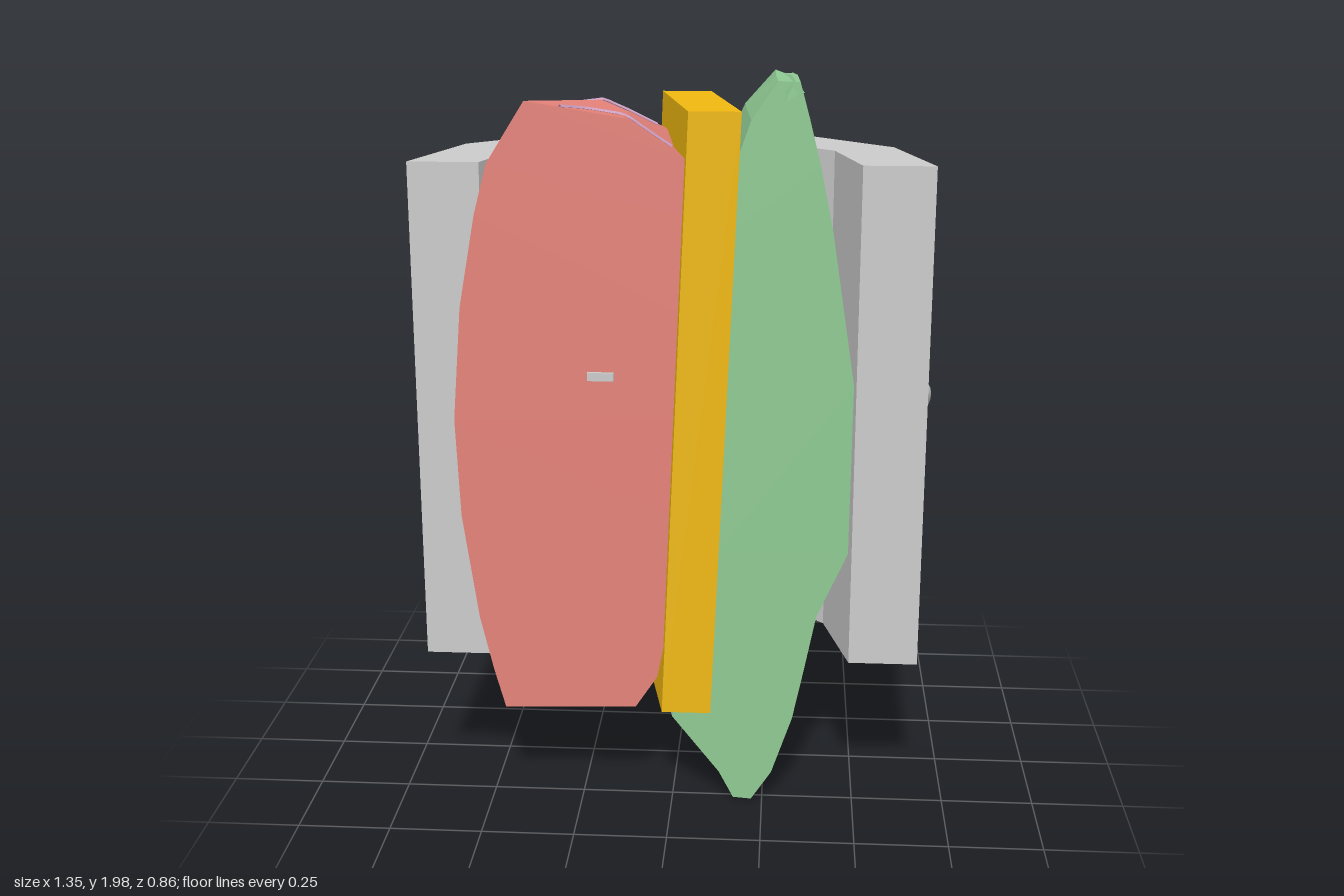
import * as THREE from 'three';

const FRONT = 0.28; // plane of the flat cut face

function material(color) {
  return new THREE.MeshStandardMaterial({ color, flatShading: true, side: THREE.DoubleSide });
}

function addMesh(parent, name, geometry, color) {
  const mesh = new THREE.Mesh(geometry, material(color));
  mesh.name = name;
  parent.add(mesh);
  return mesh;
}

// Faceted loft through rings of equal length, listed from bottom to top
function loft(rings, flip) {
  const n = rings[0].length;
  const index = [];
  const tri = (a, b, c) => index.push(...(flip ? [a, c, b] : [a, b, c]));
  for (let r = 0; r < rings.length - 1; r++) {
    for (let i = 0; i < n; i++) {
      const a = r * n + i, b = r * n + (i + 1) % n;
      tri(a, b + n, b);
      tri(a, a + n, b + n);
    }
  }
  const top = (rings.length - 1) * n;
  for (let i = 1; i < n - 1; i++) {
    tri(0, i, i + 1);
    tri(top, top + i + 1, top + i);
  }
  const g = new THREE.BufferGeometry();
  g.setAttribute('position', new THREE.Float32BufferAttribute(rings.flat(2), 3));
  g.setIndex(index);
  const flat = g.toNonIndexed();
  flat.computeVertexNormals();
  return flat;
}

// Half-cut filling: levels are [y, outer x, inner x, back z]; section is [share of width, share of depth]
function filling(levels, section, rough, tilt = 0) {
  const rings = levels.map(([y, outer, inner, back], r) => section.map(([u, d], i) => {
    const wobble = rough * Math.sin(i * 2.3 + r * 1.7);
    return [
      outer + (inner - outer) * u,
      y + wobble - (r === levels.length - 1 ? tilt * u : 0),
      FRONT + (back - FRONT) * d,
    ];
  }));
  return loft(rings, levels[0][1] > levels[0][2]);
}

export function createModel() {
  const model = new THREE.Group();
  model.name = 'halvedFilledRoll';

  // Outer shell: half ring with six flat sides
  const outer = [[-0.675, 0.27], [-0.585, -0.08], [-0.34, -0.325], [0, -0.415], [0.33, -0.325], [0.575, -0.08], [0.665, 0.27]];
  const inner = [[0.48, 0.27], [0.415, 0], [0.24, -0.17], [0, -0.235], [-0.245, -0.17], [-0.425, 0.01], [-0.49, 0.27]];
  const shape = new THREE.Shape([...outer, ...inner].map(([x, z]) => new THREE.Vector2(x, -z)));
  const shell = new THREE.ExtrudeGeometry(shape, { depth: 1.35, bevelEnabled: false });
  shell.rotateX(-Math.PI / 2).translate(0, 0.435, 0);
  addMesh(model, 'shell', shell, 0xcccccc);

  // Seeds lying on the shell: x, y, z, tilt
  const seeds = new THREE.Group();
  seeds.name = 'seeds';
  model.add(seeds);
  const seedGeometry = new THREE.SphereGeometry(1, 12, 8);
  [
    [0.643, 1.16, 0.18, 0.8], [0.45, 0.69, -0.21, 0.3], [0.52, 1.61, -0.135, -0.5],
    [0.21, 1.35, -0.355, 0], [-0.07, 1.23, -0.395, 0], [-0.1, 1.68, -0.385, 1.57],
    [-0.24, 0.73, -0.352, 0.5], [-0.47, 1.24, -0.195, 0.8], [-0.63, 1.5, 0.11, -0.4],
    [-0.635, 0.59, 0.14, 0.6],
  ].forEach(([x, y, z, tilt], i) => {
    const side = outer.findIndex((p, k) => k < 6 && x >= p[0] && x <= outer[k + 1][0]);
    const k = side < 0 ? (x < 0 ? 0 : 5) : side;
    const dx = outer[k + 1][0] - outer[k][0], dz = outer[k + 1][1] - outer[k][1];
    const seed = new THREE.Mesh(seedGeometry, new THREE.MeshStandardMaterial({ color: 0xcccccc }));
    seed.name = 'seed' + (i + 1);
    seed.position.set(x, y, z);
    seed.rotation.set(0, Math.atan2(dz, -dx), tilt, 'YXZ');
    seed.scale.set(0.036, 0.072, 0.034);
    seeds.add(seed);
  });

  // Sliver of a seed in the cut face
  const sliver = new THREE.BoxGeometry(0.07, 0.022, 0.02).translate(-0.185, 1.232, FRONT);
  addMesh(model, 'seedSliver', sliver, 0xcccccc);

  // Red filling
  const redSection = [[0, 0], [0.15, 0.5], [0.4, 0.83], [0.74, 0.98], [0.95, 0.97], [0.97, 0.5], [1, 0]];
  const red = addMesh(model, 'redFilling', filling([
    [0.28, -0.46, -0.1, 0.06],
    [0.38, -0.49, -0.04, -0.12],
    [0.55, -0.525, -0.01, -0.2],
    [0.85, -0.565, 0.01, -0.23],
    [1.1, -0.575, 0.02, -0.23],
    [1.4, -0.55, 0.035, -0.23],
    [1.66, -0.505, 0.05, -0.21],
    [1.79, -0.47, 0.04, -0.16],
    [1.93, -0.37, -0.12, -0.03],
  ], redSection, 0.012, 0.04), 0xe5837a);

  // Pale veins draped over the top of the red filling
  red.updateMatrixWorld(true);
  const ray = new THREE.Raycaster();
  const down = new THREE.Vector3(0, -1, 0);
  [
    [[-0.4, 0.0], [-0.36, 0.04], [-0.27, 0.03], [-0.2, 0.0], [-0.06, -0.04]],
    [[-0.28, 0.27], [-0.22, 0.18], [-0.1, 0.165], [-0.01, 0.14]],
  ].forEach((path, i) => {
    const guide = new THREE.CatmullRomCurve3(path.map(([x, z]) => new THREE.Vector3(x, 0, z)));
    const points = [];
    for (const p of guide.getPoints(16)) {
      ray.set(new THREE.Vector3(p.x, 3, p.z), down);
      const hit = ray.intersectObject(red)[0];
      if (hit) points.push(hit.point);
    }
    if (points.length > 2) {
      const tube = new THREE.TubeGeometry(new THREE.CatmullRomCurve3(points), 32, 0.006, 4);
      addMesh(model, 'vein' + (i + 1), tube, 0xc99bbd);
    }
  });

  // Yellow slice, leaning and turned slightly
  const slice = new THREE.BoxGeometry(0.133, 1.63, 0.49);
  slice.translate(0, 1.105, 0.06);
  const pos = slice.attributes.position;
  for (let i = 0; i < pos.count; i++) {
    const y = pos.getY(i), z = pos.getZ(i);
    pos.setX(i, pos.getX(i) + 0.07 + 0.2 * (z - FRONT) + 0.043 * (y - 1.1));
    pos.setZ(i, z - (z < 0 ? 0.012 * (1.9 - y) : 0));
  }
  slice.computeVertexNormals();
  addMesh(model, 'yellowSlice', slice, 0xf0b810);

  // Green leaf
  const leafSection = [[0, 0], [0.13, 0.5], [0.35, 0.74], [0.7, 0.9], [1.18, 1], [1.12, 0.5], [1, 0]];
  addMesh(model, 'greenLeaf', filling([
    [0.02, 0.22, 0.17, 0.16],
    [0.1, 0.275, 0.13, 0],
    [0.27, 0.33, 0.0, -0.18],
    [0.42, 0.36, 0.08, -0.235],
    [0.57, 0.39, 0.1, -0.23],
    [0.75, 0.47, 0.12, -0.23],
    [1.22, 0.473, 0.14, -0.23],
    [1.62, 0.41, 0.155, -0.225],
    [1.78, 0.375, 0.16, -0.2],
    [1.9, 0.345, 0.2, -0.1],
    [1.995, 0.32, 0.265, 0.03],
  ], leafSection, 0.004), 0x8fca93);

  // Paler folds between the leaf and the slice
  for (let i = 0; i < 3; i++) {
    const h = 1.95 - 0.04 * i, z = 0.27 - 0.12 * i, x = 0.25 - 0.035 * i;
    const fold = loft([
      [[x - 0.1, 1.6, z], [x + 0.05, 1.6, z], [x - 0.02, 1.6, z - 0.16]],
      [[x - 0.05, h - 0.09, z - 0.02], [x + 0.02, h, z - 0.03], [x - 0.02, h - 0.03, z - 0.1]],
    ], true);
    addMesh(model, 'innerFold' + (i + 1), fold, 0xb4cc86);
  }

  // Curled leaf tip reaching past the cut face
  const tip = [[0.05, 0.26, 0.03, 1.98], [0.18, 0.295, 0.03, 1.988], [0.28, 0.305, 0.026, 1.985], [0.35, 0.3, 0.014, 1.98], [0.43, 0.287, 0.002, 1.962]];
  addMesh(model, 'leafTip', loft(tip.map(([z, x, w, y]) => [
    [x - w, y - w * 0.8, z], [x + w, y - w * 0.8, z], [x, y + w * 0.4, z],
  ]), true), 0x8fca93);

  return model;
}
